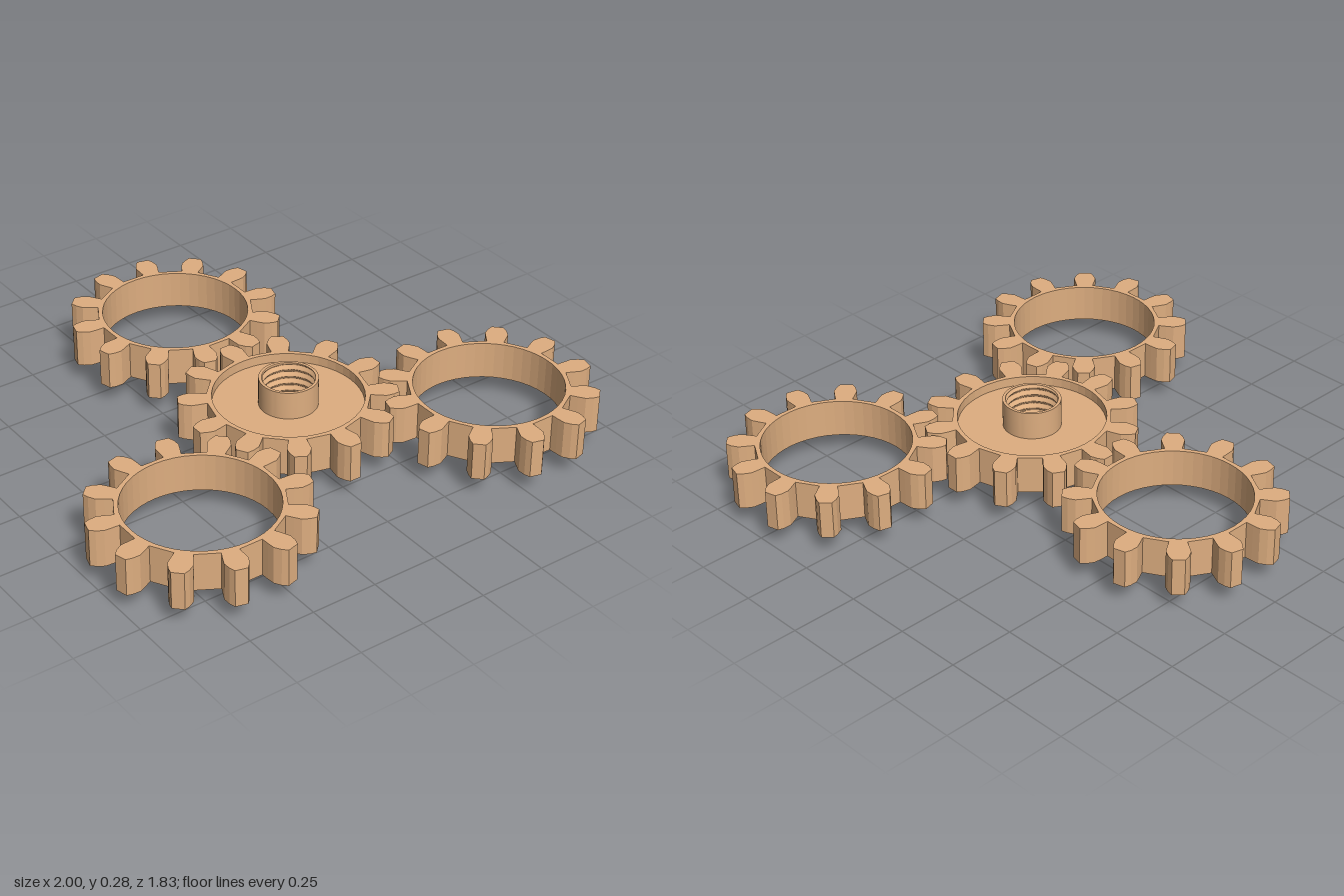
import * as THREE from 'three';
import { toCreasedNormals } from 'three/addons/utils/BufferGeometryUtils.js';

const TEETH = 12;
const HEIGHT = 0.285;                 // hub height
const GEAR_BOTTOM = 0.071, GEAR_TOP = 0.214;
const BORE = 0.27;                    // inner radius of each toothed ring
const SPACING = 0.713;                // distance between gear centres
const SUN_Z = 0.178;

const material = new THREE.MeshStandardMaterial({ color: 0xdeae80 });

function addMesh(parent, name, geometry) {
  const mesh = new THREE.Mesh(geometry, material);
  mesh.name = name;
  parent.add(mesh);
  return mesh;
}

// Thin ring with twelve curved teeth; phase turns the teeth
function toothedRing(phase) {
  // [radius, half width] from root to tip of one tooth
  const flank = [[0.287, 0.031], [0.315, 0.037], [0.343, 0.042], [0.37, 0.034], [0.39, 0.022]];
  const tooth = [
    ...flank.map(([r, w]) => [r, -w]),
    ...flank.slice().reverse(),
  ];
  const outline = [];
  for (let i = 0; i < TEETH; i++) {
    const a = phase + (i / TEETH) * Math.PI * 2;
    for (const [r, w] of tooth) {
      outline.push(new THREE.Vector2(
        r * Math.cos(a) - w * Math.sin(a),
        r * Math.sin(a) + w * Math.cos(a)
      ));
    }
  }
  const shape = new THREE.Shape(outline);
  shape.holes.push(new THREE.Path().absarc(0, 0, BORE, 0, Math.PI * 2, true));
  const geometry = new THREE.ExtrudeGeometry(shape, {
    depth: GEAR_TOP - GEAR_BOTTOM, bevelEnabled: false, curveSegments: 24,
  });
  geometry.rotateX(-Math.PI / 2);
  geometry.translate(0, GEAR_BOTTOM, 0);
  return geometry;
}

// Recessed web and the hub that stands out on both sides
function webAndHub() {
  const recess = 0.035, hub = 0.106, bore = 0.095;
  const low = GEAR_BOTTOM + recess, high = GEAR_TOP - recess;
  const profile = [
    [bore, 0], [hub, 0], [hub, low], [BORE + 0.005, low],
    [BORE + 0.005, high], [hub, high], [hub, HEIGHT], [bore, HEIGHT],
  ].map(([r, y]) => new THREE.Vector2(r, y));
  return toCreasedNormals(new THREE.LatheGeometry(profile, 64), 0.6);
}

// Helical thread lining the hub, facing inwards
function thread() {
  const turns = 10, rows = 120;
  const geometry = new THREE.PlaneGeometry(1, 1, 64, rows);
  const pos = geometry.attributes.position;
  for (let i = 0; i < pos.count; i++) {
    const u = pos.getX(i) + 0.5, v = pos.getY(i) + 0.5;
    const t = (((v * turns - u) % 1) + 1) % 1;
    const wave = Math.abs(t * 2 - 1) * 2 - 1;
    const fade = Math.min(1, Math.min(v, 1 - v) * 40);
    const r = 0.095 + 0.005 * wave * fade;
    const a = -u * Math.PI * 2;
    pos.setXYZ(i, r * Math.sin(a), v * HEIGHT, r * Math.cos(a));
  }
  geometry.computeVertexNormals();
  return geometry;
}

export function createModel() {
  const model = new THREE.Group();
  model.name = 'gearSet';

  // Central gear
  const sun = new THREE.Group();
  sun.name = 'centralGear';
  sun.position.z = SUN_Z;
  addMesh(sun, 'centralTeeth', toothedRing(0));
  addMesh(sun, 'webAndHub', webAndHub());
  addMesh(sun, 'hubThread', thread());
  model.add(sun);

  // Three open outer gears meshing with it
  const ring = toothedRing(Math.PI / TEETH);
  ['backGear', 'leftGear', 'rightGear'].forEach((name, i) => {
    const a = Math.PI - (i * Math.PI * 2) / 3;
    const gear = addMesh(model, name, ring);
    gear.position.set(SPACING * Math.sin(a), 0, SUN_Z + SPACING * Math.cos(a));
  });

  return model;
}
